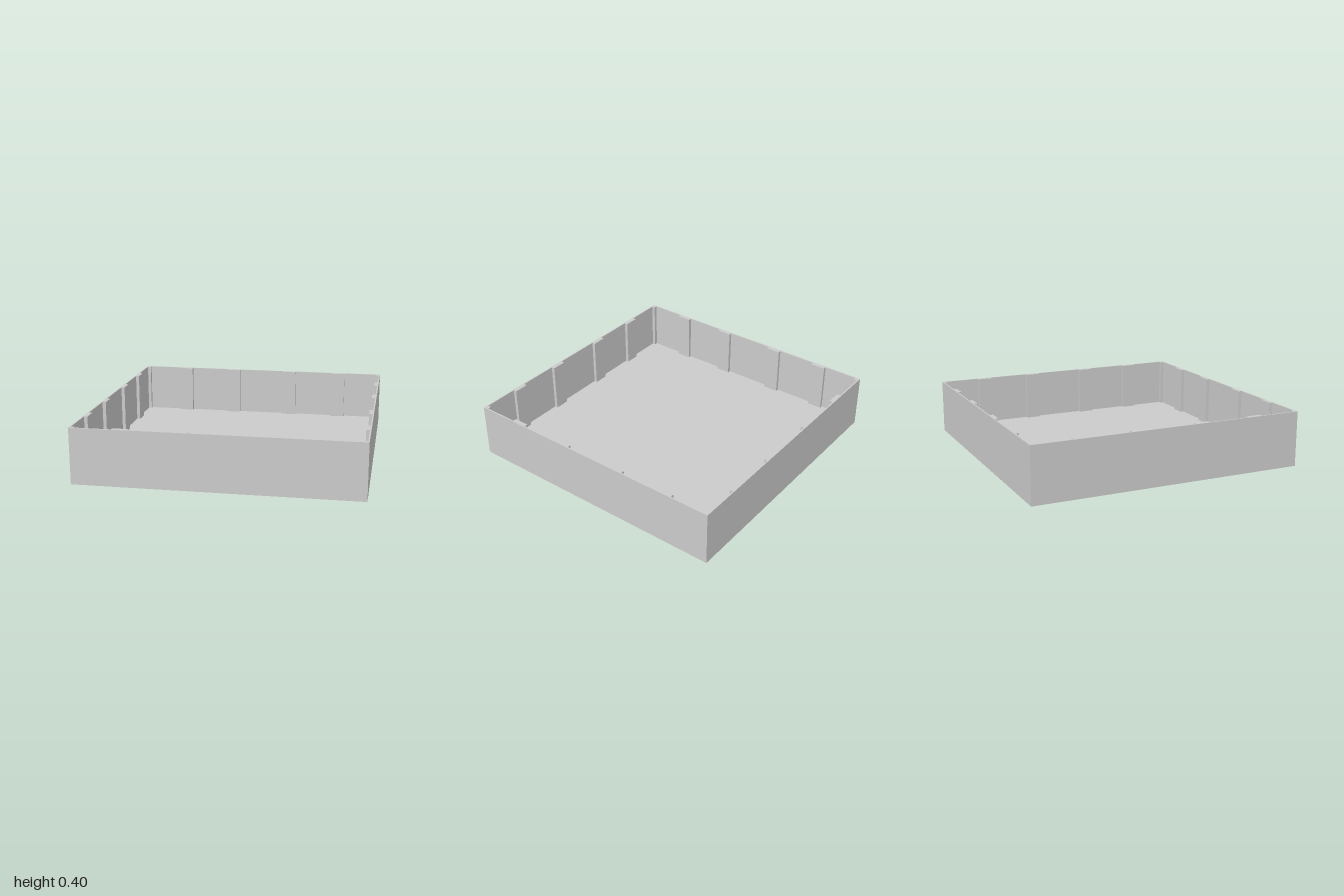
import * as THREE from 'three';

const HEIGHT = 0.4, FLOOR = 0.035;
const INNER = 0.99;   // inner face of the thin walls
const RIB = 0.965;    // inner face of ribs and corner posts
const RIB_CENTRES = [-0.65, -0.238, 0.238, 0.65];
const RIB_HALF = 0.056;

export function createModel() {
  const group = new THREE.Group();
  const material = new THREE.MeshStandardMaterial({ color: 0xcccccc, flatShading: true });

  // Floor slab
  const floor = new THREE.Mesh(new THREE.BoxGeometry(2, FLOOR, 2), material);
  floor.name = 'floor';
  floor.position.y = FLOOR / 2;
  group.add(floor);

  // Inner outline of one side: corner post, then four ribs
  const side = [[-RIB, RIB], [-RIB, INNER]];
  for (const c of RIB_CENTRES) {
    const a = c - RIB_HALF, b = c + RIB_HALF;
    side.push([a, INNER], [a, RIB], [b, RIB], [b, INNER]);
  }
  side.push([RIB, INNER]);

  // Repeat the side four times, turning clockwise
  const inner = [];
  for (let i = 0; i < 4; i++) {
    for (const [x, y] of side) {
      inner.push(new THREE.Vector2(x, y).rotateAround(new THREE.Vector2(), -i * Math.PI / 2));
    }
  }

  // Walls with ribs and corner posts, standing on the floor
  const outline = new THREE.Shape([[-1, -1], [1, -1], [1, 1], [-1, 1]].map(p => new THREE.Vector2(...p)));
  outline.holes.push(new THREE.Path(inner));
  const wallGeometry = new THREE.ExtrudeGeometry(outline, { depth: HEIGHT - FLOOR, bevelEnabled: false });
  wallGeometry.rotateX(-Math.PI / 2);
  const walls = new THREE.Mesh(wallGeometry, material);
  walls.name = 'ribbedWalls';
  walls.position.y = FLOOR;
  group.add(walls);

  return group;
}
